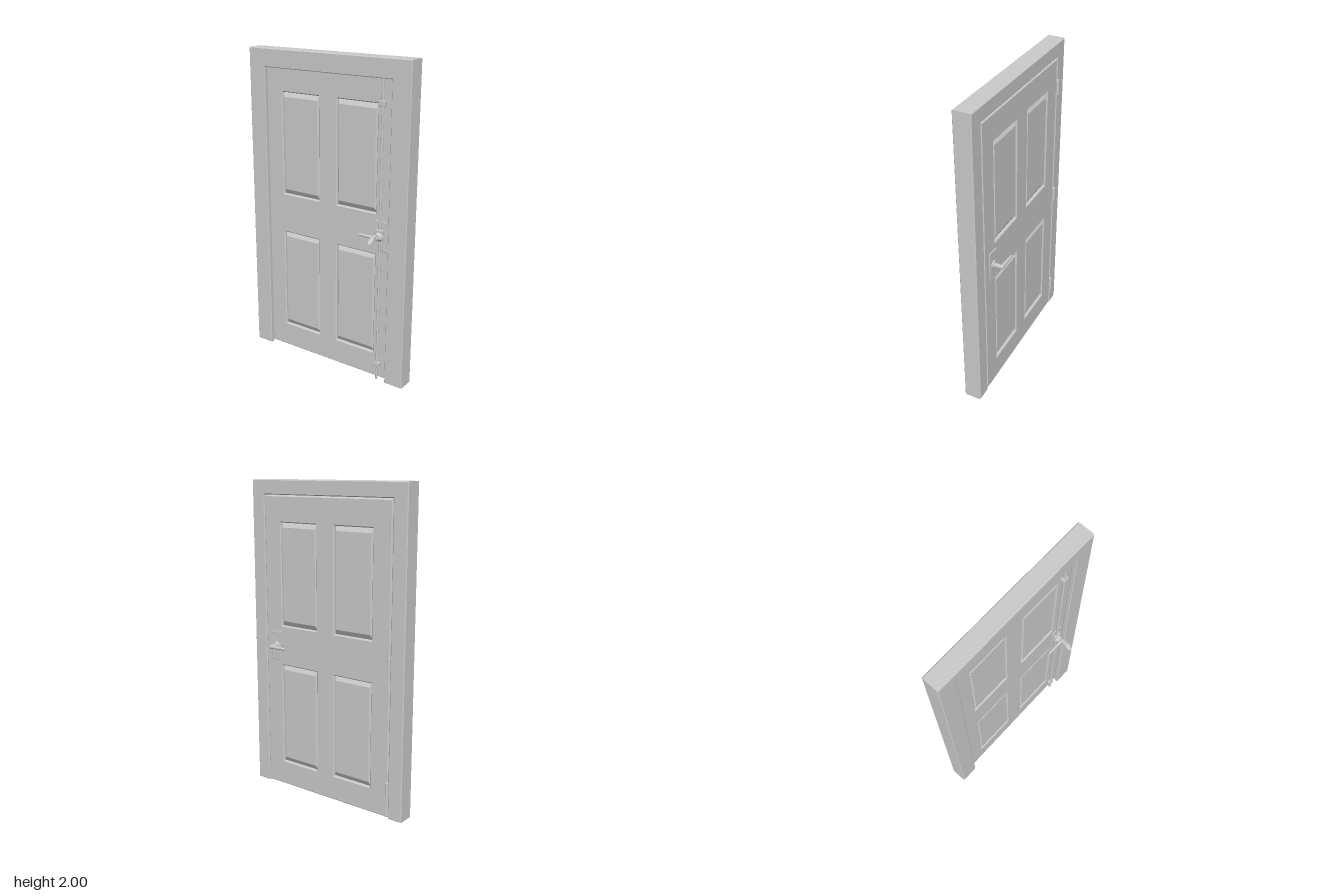
import * as THREE from 'three';
import { toCreasedNormals } from 'three/addons/utils/BufferGeometryUtils.js';
import { RoundedBoxGeometry } from 'three/addons/geometries/RoundedBoxGeometry.js';

const material = new THREE.MeshStandardMaterial({ color: 0xcccccc });

function add(parent, name, geometry, x = 0, y = 0, z = 0) {
  const mesh = new THREE.Mesh(geometry, material);
  mesh.name = name;
  mesh.position.set(x, y, z);
  parent.add(mesh);
  return mesh;
}

const polygon = (points) => new THREE.Shape(points.map(([x, y]) => new THREE.Vector2(x, y)));
const rect = (x0, y0, x1, y1) => polygon([[x0, y0], [x1, y0], [x1, y1], [x0, y1]]);

// Extrudes a shape from z0 to z1, chamfering the edges inward
function slab(shape, z0, z1, bevel) {
  const geometry = new THREE.ExtrudeGeometry(shape, {
    depth: z1 - z0 - 2 * bevel, bevelEnabled: true, bevelSegments: 1,
    bevelSize: bevel, bevelThickness: bevel, bevelOffset: -bevel,
  });
  return geometry.translate(0, 0, z0 + bevel);
}

// Door frame outline: two jambs joined by a header
const archway = (left, right, top) => polygon([
  [-0.575, 0], [left, 0], [left, top], [right, top],
  [right, 0], [0.575, 0], [0.575, 2], [-0.575, 2],
]);

// Raised field: rectangle tapering from its base to a smaller face toward +z
function raisedPanel(w, h, insetX, insetY, depth) {
  const geometry = new THREE.BoxGeometry(w, h, depth);
  const p = geometry.attributes.position;
  for (let i = 0; i < p.count; i++) {
    if (p.getZ(i) > 0) {
      p.setX(i, p.getX(i) - Math.sign(p.getX(i)) * insetX);
      p.setY(i, p.getY(i) - Math.sign(p.getY(i)) * insetY);
    }
  }
  const flat = geometry.toNonIndexed();
  flat.computeVertexNormals();
  return flat;
}

// Turned parts with their axis along z
const turned = (points) => toCreasedNormals(
  new THREE.LatheGeometry(points.map(([r, z]) => new THREE.Vector2(r, z)), 24).rotateX(Math.PI / 2), 0.7);

// Plate, screws, collar, spindle and lever, built facing +z from z = 0
function leverSet(name, reach) {
  const set = new THREE.Group();
  set.name = name;
  add(set, 'backPlate', new RoundedBoxGeometry(0.08, 0.19, 0.008, 2, 0.003), 0, 0, 0.004);
  for (const x of [-0.03, 0.03]) for (const y of [-0.084, 0.084]) {
    add(set, 'screw', new THREE.SphereGeometry(0.005, 12, 8).scale(1, 1, 0.6), x, y, 0.008);
  }
  add(set, 'collar', turned([[0, 0.005], [0.028, 0.005], [0.026, 0.011], [0.016, 0.018], [0, 0.018]]));
  add(set, 'spindle', turned([[0, 0], [0.013, 0], [0.012, reach - 0.003], [0.009, reach], [0, reach]]));
  // Lever points to the hinge side, thinner at the tip
  const lever = toCreasedNormals(new THREE.CylinderGeometry(0.007, 0.012, 0.12, 20), 0.7);
  add(set, 'lever', lever.rotateZ(Math.PI / 2), -0.06, 0, reach - 0.012);
  return set;
}

// Flat, curved pull: a spoon outline in plan, bent upward along its length
function curvedPull() {
  const half = [[0.008, 0.02], [0.009, 0.05], [0.012, 0.08], [0.016, 0.115], [0.014, 0.128], [0.007, 0.136]];
  const side = new THREE.SplineCurve(half.map(([x, z]) => new THREE.Vector2(x, z))).getPoints(20);
  const outline = [...side, ...side.slice().reverse().map((p) => new THREE.Vector2(-p.x, p.y))];
  const geometry = new THREE.ExtrudeGeometry(new THREE.Shape(outline), {
    depth: 0.004, bevelSize: 0.003, bevelOffset: -0.003, bevelThickness: 0.003, bevelSegments: 3,
  });
  geometry.rotateX(Math.PI / 2);
  const p = geometry.attributes.position;
  for (let i = 0; i < p.count; i++) {
    const t = (p.getZ(i) - 0.02) / 0.116;
    p.setY(i, p.getY(i) + 0.024 * Math.sin(Math.PI * t) - 0.013 * t * t);
  }
  return toCreasedNormals(geometry, 0.8);
}

export function createModel() {
  const model = new THREE.Group();
  model.name = 'panelDoor';

  // Frame: wide opening at the back, narrower stop at the front
  const frame = new THREE.Group();
  frame.name = 'frame';
  model.add(frame);
  add(frame, 'frameBack', slab(archway(-0.48, 0.478, 1.908), -0.07, 0.025, 0.005));
  add(frame, 'frameStop', slab(archway(-0.456, 0.452, 1.886), 0.01, 0.04, 0.004));

  // Door leaf with four openings
  const door = new THREE.Group();
  door.name = 'door';
  model.add(door);
  const back = -0.069, front = 0.009;
  const leaf = rect(-0.476, 0.008, 0.474, 1.904);
  const panels = [];
  for (const [x0, x1] of [[-0.345, -0.07], [0.066, 0.345]]) {
    for (const [y0, y1] of [[0.17, 0.83], [1.09, 1.74]]) panels.push([x0, y0, x1, y1]);
  }
  for (const box of panels) leaf.holes.push(rect(...box));
  add(door, 'leaf', slab(leaf, back, front, 0.006));

  // Raised fields on both faces
  const middle = (back + front) / 2, rise = 0.016;
  for (const [x0, y0, x1, y1] of panels) {
    const w = x1 - x0, h = y1 - y0, x = (x0 + x1) / 2, y = (y0 + y1) / 2;
    add(door, 'panelCore', new THREE.BoxGeometry(w, h, 0.04), x, y, middle);
    for (const s of [1, -1]) {
      const panel = add(door, s > 0 ? 'frontPanel' : 'backPanel',
        raisedPanel(w, h, 0.012, 0.03, rise), x, y, middle + s * (0.02 + rise / 2));
      if (s < 0) panel.rotation.y = Math.PI;
    }
  }

  // Hinge knuckles on the back
  for (const y of [0.187, 0.955, 1.722]) {
    const hinge = new THREE.Group();
    hinge.name = 'hinge';
    hinge.position.set(-0.476, y, -0.077);
    model.add(hinge);
    add(hinge, 'knuckle', new THREE.CylinderGeometry(0.0095, 0.0095, 0.095, 16));
    add(hinge, 'hingeLeaf', new THREE.BoxGeometry(0.012, 0.093, 0.014), 0, 0, 0.008);
  }

  // Vertical bolt rod with guides on the front
  const bolt = new THREE.Group();
  bolt.name = 'bolt';
  model.add(bolt);
  add(bolt, 'rod', new THREE.CylinderGeometry(0.008, 0.008, 1.882, 16), 0.386, 0.941, 0.022);
  for (const y of [0.1, 1.745]) {
    add(bolt, 'rodGuide', new RoundedBoxGeometry(0.038, 0.035, 0.028, 2, 0.003), 0.386, y, 0.021);
  }
  add(bolt, 'boltCase', new RoundedBoxGeometry(0.05, 0.07, 0.026, 2, 0.003), 0.386, 0.965, 0.022);

  // Handles on both faces
  const frontSet = leverSet('frontHandle', 0.065);
  frontSet.position.set(0.386, 0.957, front);
  model.add(frontSet);
  add(frontSet, 'flaredCollar', turned([[0, 0.02], [0.03, 0.02], [0.026, 0.032], [0.014, 0.047], [0, 0.047]]));
  add(frontSet, 'pull', curvedPull(), 0, 0, 0);

  const backSet = leverSet('backHandle', 0.076);
  backSet.position.set(0.386, 0.957, back);
  backSet.scale.x = 1;
  // Turn to face the back, keeping the lever toward the hinges
  backSet.rotation.y = Math.PI;
  backSet.getObjectByName('lever').rotation.y = Math.PI;
  backSet.getObjectByName('lever').position.x = 0.06;
  model.add(backSet);

  return model;
}
